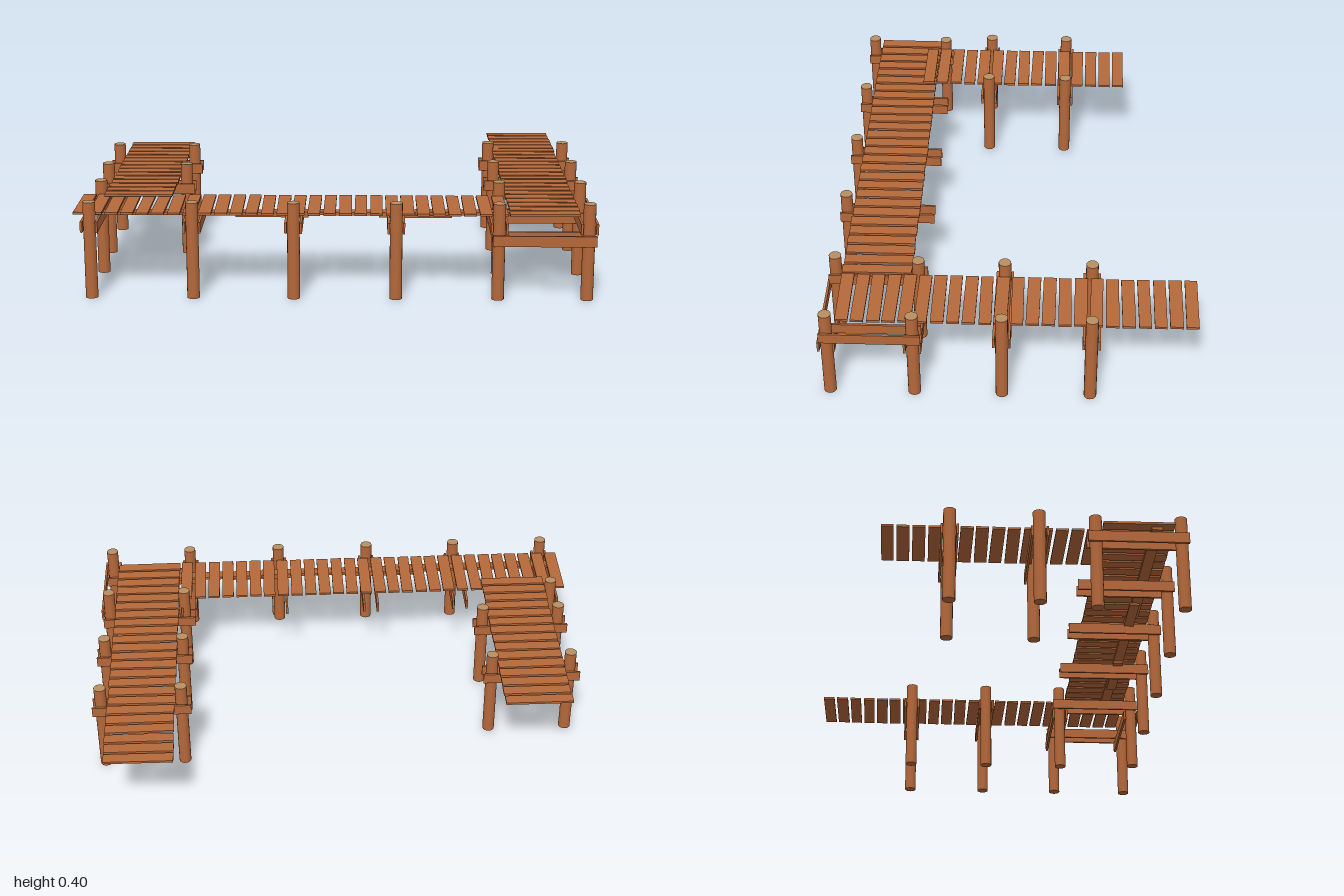
import * as THREE from 'three';

export function createModel() {
  const model = new THREE.Group();
  const wood = new THREE.MeshStandardMaterial({ color: 0xb5683a });
  const cutWood = new THREE.MeshStandardMaterial({ color: 0xb98f62 });

  // Small seeded generator, -1 to 1, for uneven planks
  let seed = 7;
  const jitter = () => {
    seed = (seed * 16807) % 2147483647;
    return (seed / 2147483647) * 2 - 1;
  };

  const group = (name, parent = model) => {
    const g = new THREE.Group();
    g.name = name;
    parent.add(g);
    return g;
  };

  const box = (parent, name, size, pos) => {
    const mesh = new THREE.Mesh(new THREE.BoxGeometry(...size), wood);
    mesh.name = name;
    mesh.position.set(...pos);
    parent.add(mesh);
    return mesh;
  };

  // Posts with a paler sawn top
  const posts = group('posts');
  const post = (x, z, bottom = 0, top = 0.379) => {
    const geo = new THREE.CylinderGeometry(0.024, 0.024, top - bottom, 16);
    const mesh = new THREE.Mesh(geo, [wood, cutWood, wood]);
    mesh.name = 'post';
    mesh.position.set(x, (top + bottom) / 2, z);
    posts.add(mesh);
  };
  const mainX = [-0.93, -0.54, -0.155, 0.235, 0.625];
  for (const x of [...mainX, 0.965]) post(x, 0.675);
  post(-0.93, 0.353);
  for (const z of [0.353, 0.02, -0.315]) {
    post(0.645, z);
    post(0.965, z);
  }
  for (const z of [0.142, -0.193]) {
    post(-0.93, z, 0.018, 0.395);
    post(-0.612, z, 0.018, 0.395);
  }

  // Paired crossbeams clamping the posts
  const beams = group('crossbeams');
  const H = 0.042, T = 0.009, OFF = 0.029;
  const pairAlongX = (x, y, z) => {
    for (const s of [-1, 1]) box(beams, 'crossbeam', [0.393, H, T], [x, y, z + s * OFF]);
  };
  const pairAlongZ = (x, y, z) => {
    for (const s of [-1, 1]) box(beams, 'crossbeam', [T, H, 0.38], [x + s * OFF, y, z]);
  };
  for (const x of [...mainX, 0.965]) pairAlongZ(x, 0.284, 0.511);
  for (const z of [0.142, -0.193]) pairAlongX(-0.773, 0.295, z);
  for (const z of [0.02, -0.315]) pairAlongX(0.803, 0.282, z);
  for (const z of [0.353, 0.675]) pairAlongX(0.797, 0.238, z);

  // Flat stringers under the main walk, with splice boards at the joints
  const stringers = group('stringers');
  for (const [x0, x1, z] of [[-0.98, -0.24, 0.578], [-0.24, 0.31, 0.569], [0.31, 0.74, 0.562]])
    box(stringers, 'stringer', [x1 - x0, 0.012, 0.042], [(x0 + x1) / 2, 0.311, z]);
  for (const x of [-0.24, 0.31])
    box(stringers, 'spliceBoard', [0.28, 0.009, 0.04], [x, 0.3, 0.568]);

  // Deck planks laid in a row, each slightly out of true
  const deck = (name, count, start, cross, y, alongX) => {
    const g = group(name);
    for (let i = 0; i < count; i++) {
      const p = start + i * 0.0596;
      const c = cross + jitter() * 0.002;
      const w = 0.048 + jitter() * 0.002;
      const plank = alongX
        ? box(g, 'plank', [w, 0.009, 0.268], [p, y, c])
        : box(g, 'plank', [0.268, 0.009, w], [c, y, p]);
      plank.rotation.y = jitter() * 0.014;
    }
  };
  deck('mainDeck', 28, -0.972, 0.512, 0.323, true);
  deck('leftDeck', 23, -0.69, 0.803, 0.323, false);
  deck('rightDeck', 15, -0.425, -0.772, 0.338, false);

  return model;
}
